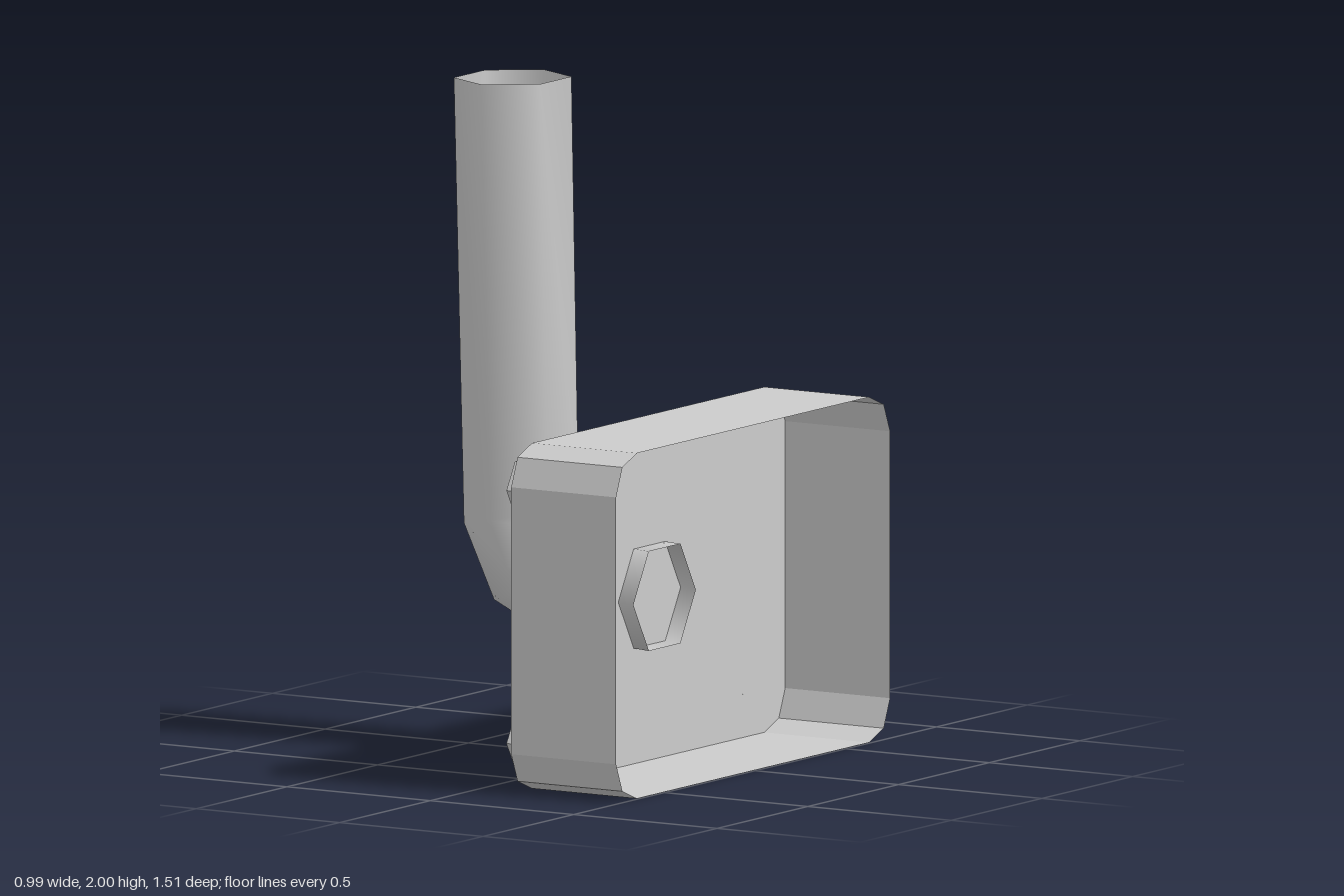
import * as THREE from 'three';

const material = new THREE.MeshStandardMaterial({ color: 0xcccccc, side: THREE.DoubleSide });

// Open skin joining closed rings of [x, y, z] points
function loft(rings) {
  const n = rings[0].length;
  const index = [];
  for (let r = 0; r < rings.length - 1; r++) {
    for (let i = 0; i < n; i++) {
      const a = r * n + i, b = r * n + (i + 1) % n;
      index.push(a, b, a + n, b, b + n, a + n);
    }
  }
  const geometry = new THREE.BufferGeometry();
  geometry.setAttribute('position', new THREE.Float32BufferAttribute(rings.flat(2), 3));
  geometry.setIndex(index);
  return geometry;
}

function addMesh(group, name, geometry) {
  const mesh = new THREE.Mesh(geometry, material);
  mesh.name = name;
  group.add(mesh);
  return mesh;
}

export function createModel() {
  const group = new THREE.Group();

  // Outline of the housing as [z, y], chamfered twice at each corner
  const midY = 0.515, plateX = 0.127, rimX = 0.493;
  const corner = [[0.755, 0.398], [0.72, 0.483], [0.64, 0.515]];
  const flipped = [...corner].reverse();
  const outline = [
    ...corner.map(([z, y]) => [z, midY + y]),
    ...flipped.map(([z, y]) => [-z, midY + y]),
    ...corner.map(([z, y]) => [-z, midY - y]),
    ...flipped.map(([z, y]) => [z, midY - y]),
  ];

  // Thin side walls, open on the +x side
  const walls = loft([rimX, plateX].map(x => outline.map(([z, y]) => [x, y, z]))).toNonIndexed();
  walls.computeVertexNormals();
  addMesh(group, 'housingWalls', walls);

  // Mounting plate closing the -x side
  const shape = new THREE.Shape(outline.map(([z, y]) => new THREE.Vector2(-z, y)));
  const plate = new THREE.ShapeGeometry(shape).rotateY(Math.PI / 2);
  plate.translate(plateX, 0, 0);
  addMesh(group, 'mountingPlate', plate);

  // Hexagonal bent pipe: [outer x, outer y, inner x, inner y] of each section
  const sections = [
    [0.18, 0.341, 0.18, 0.638],
    [-0.18, 0.365, -0.15, 0.655],
    [-0.36, 0.45, -0.163, 0.675],
    [-0.465, 0.67, -0.175, 0.73],
    [-0.5, 1.995, -0.2, 2.0],
  ];
  const pipeZ = -0.007;
  const rings = sections.map(([ox, oy, ix, iy]) => {
    const cx = (ox + ix) / 2, cy = (oy + iy) / 2;
    return [
      [ox, oy, pipeZ - 0.087], [ox, oy, pipeZ + 0.087], [cx, cy, pipeZ + 0.172],
      [ix, iy, pipeZ + 0.087], [ix, iy, pipeZ - 0.087], [cx, cy, pipeZ - 0.172],
    ];
  });
  const pipe = loft(rings);
  pipe.computeVertexNormals();
  addMesh(group, 'bentPipe', pipe);

  // Hexagonal bolt heads at the plate corners
  const bolt = new THREE.CylinderGeometry(0.093, 0.093, 0.05, 6).toNonIndexed();
  bolt.rotateZ(Math.PI / 2);
  bolt.computeVertexNormals();
  for (const y of [0.138, 0.892]) {
    for (const z of [-0.609, 0.609]) {
      addMesh(group, 'boltHead', bolt).position.set(0.102, y, z);
    }
  }
  return group;
}
